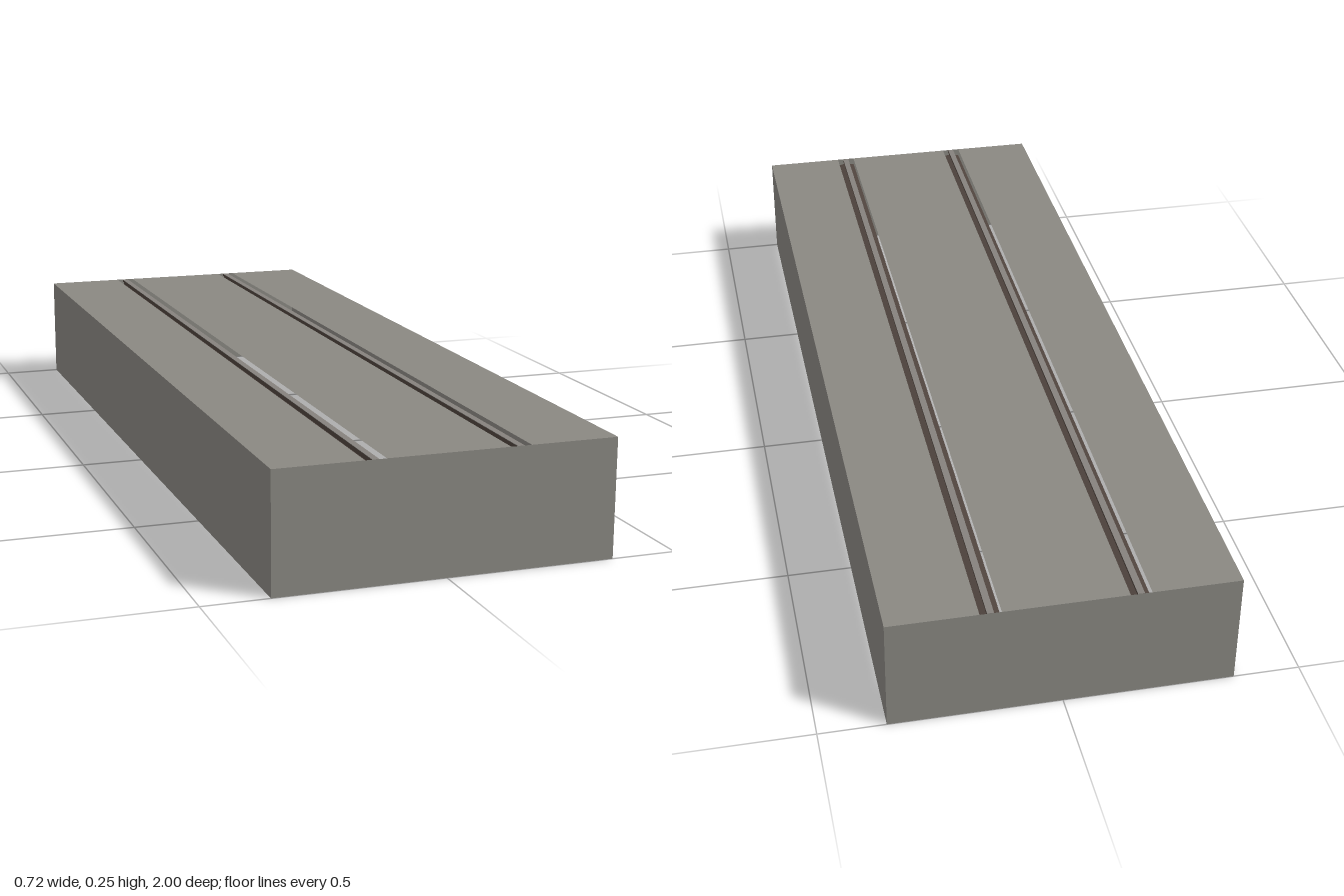
import * as THREE from 'three';

const W = 0.36, H = 0.253, L = 2; // half width, height, length
const RAIL_X = 0.151, SLOT = 0.022; // rail centre and half width of its slot
const RAIL_L = L - 0.002;

export function createModel() {
  const model = new THREE.Group();
  const material = (name, color, options = {}) => {
    const m = new THREE.MeshStandardMaterial({ color, ...options });
    m.name = name;
    return m;
  };
  const stone = material('stone', 0x8a8882, { side: THREE.DoubleSide });
  const darkIron = material('darkIron', 0x4f443e);
  const rust = material('rust', 0x8f5a33);
  const steel = material('steel', 0x86827d);

  const add = (name, geometry, mat, x, y, z) => {
    const mesh = new THREE.Mesh(geometry, mat);
    mesh.name = name;
    mesh.position.set(x, y, z);
    model.add(mesh);
  };

  // Road surface: three panels separated by the rail slots
  const panel = (name, x0, x1) =>
    add(name, new THREE.PlaneGeometry(x1 - x0, L).rotateX(-Math.PI / 2), stone, (x0 + x1) / 2, H, 0);
  panel('middlePanel', -RAIL_X + SLOT, RAIL_X - SLOT);
  panel('leftPanel', RAIL_X + SLOT, W);
  panel('rightPanel', -W, -RAIL_X - SLOT);

  // Rail section, measured from the road surface, mirrored about its web
  const half = [[0.022, -0.019], [0.022, -0.018], [0.003, -0.014], [0.003, -0.008], [0.007, -0.006], [0.007, -0.001]];
  const outline = [...half, ...half.map(([x, y]) => [-x, y]).reverse()];
  const section = new THREE.Shape(outline.map(([x, y]) => new THREE.Vector2(x, y)));
  const railGeometry = new THREE.ExtrudeGeometry(section, { depth: RAIL_L, bevelEnabled: false });

  for (const s of [1, -1]) {
    const side = s > 0 ? 'left' : 'right';
    // Side and end walls; the underside stays open
    add(side + 'Wall', new THREE.PlaneGeometry(L, H).rotateY(s * Math.PI / 2), stone, s * W, H / 2, 0);
    add(s > 0 ? 'frontWall' : 'backWall',
      new THREE.PlaneGeometry(2 * W, H).rotateY(s > 0 ? 0 : Math.PI), stone, 0, H / 2, s * L / 2);
    // Rail with its worn running surface and rusted base
    add(side + 'Rail', railGeometry, darkIron, s * RAIL_X, H, -RAIL_L / 2);
    add(side + 'RailTop', new THREE.BoxGeometry(0.014, 0.001, RAIL_L), steel, s * RAIL_X, H - 0.0005, 0);
    add(side + 'RailBase', new THREE.BoxGeometry(0.044, 0.005, RAIL_L), rust, s * RAIL_X, H - 0.0215, 0);
  }
  return model;
}
